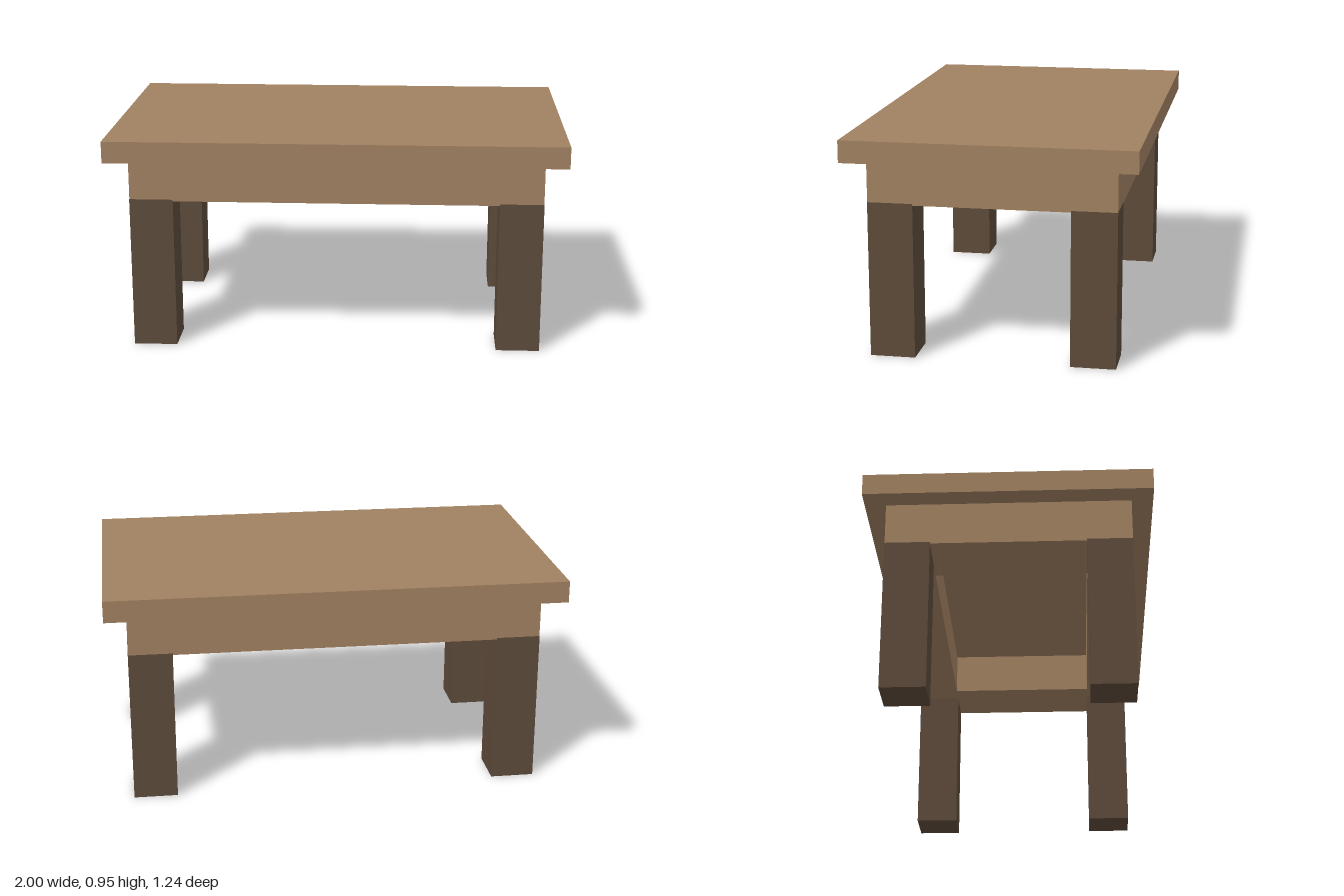
import * as THREE from 'three';

export function createModel() {
  const table = new THREE.Group();
  table.name = 'table';

  const lightWood = new THREE.MeshStandardMaterial({ color: 0xa08060 });
  lightWood.name = 'light wood';
  const darkWood = new THREE.MeshStandardMaterial({ color: 0x5c4a3a });
  darkWood.name = 'dark wood';

  const add = (name, geometry, material, x, y, z) => {
    const mesh = new THREE.Mesh(geometry, material);
    mesh.name = name;
    mesh.position.set(x, y, z);
    table.add(mesh);
    return mesh;
  };

  // Overhanging slab
  add('tabletop', new THREE.BoxGeometry(2, 0.095, 1.238), lightWood, 0, 0.9075, 0);

  // Rectangular frame under the slab, open in the middle
  const rectangle = (path, hx, hz) =>
    path.moveTo(-hx, -hz).lineTo(hx, -hz).lineTo(hx, hz).lineTo(-hx, hz).closePath();
  const outline = rectangle(new THREE.Shape(), 0.904, 0.527);
  outline.holes.push(rectangle(new THREE.Path(), 0.618, 0.334));
  const frame = new THREE.ExtrudeGeometry(outline, { depth: 0.192, bevelEnabled: false });
  frame.rotateX(-Math.PI / 2);
  add('apron', frame, lightWood, 0, 0.668, 0);

  // Square legs at the corners, let slightly into the frame
  const leg = new THREE.BoxGeometry(0.192, 0.675, 0.194);
  for (const [side, sx] of [['Left', 1], ['Right', -1]]) {
    for (const [end, sz] of [['front', 1], ['back', -1]]) {
      add(`${end}${side}Leg`, leg, darkWood, sx * 0.809, 0.3375, sz * 0.4305);
    }
  }

  return table;
}
